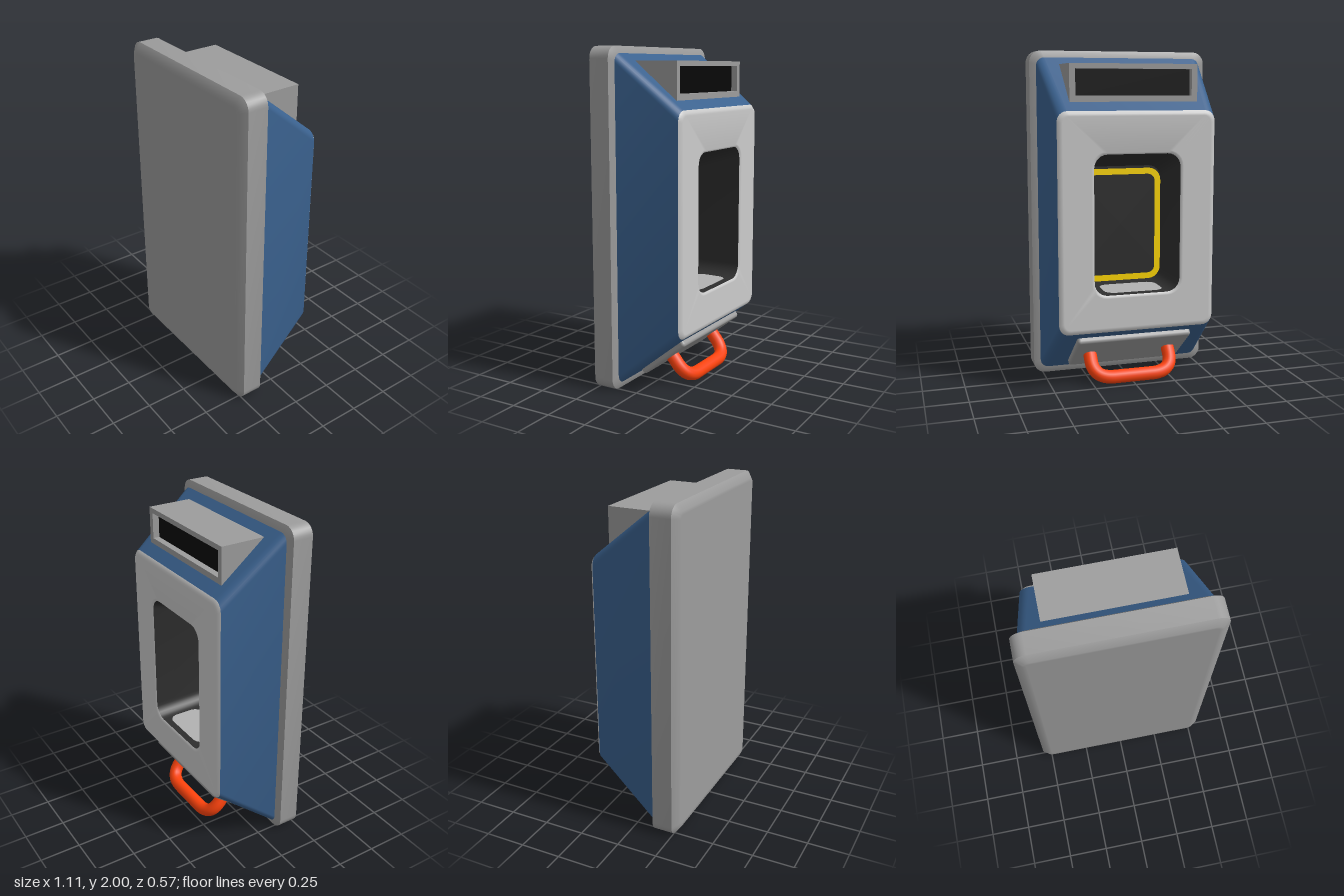
import * as THREE from 'three';
import { toCreasedNormals } from 'three/addons/utils/BufferGeometryUtils.js';
import { RoundedBoxGeometry } from 'three/addons/geometries/RoundedBoxGeometry.js';

const mat = (color) => new THREE.MeshStandardMaterial({ color });
const lightGrey = mat(0xcccccc), midGrey = mat(0xb2b2b2), grey = mat(0x9c9c9c);
const blue = mat(0x3a618e), dark = mat(0x2e2e2e), black = mat(0x080808);
const yellow = mat(0xffd800), orange = mat(0xff430c);

// Rounded rectangle outline, counter-clockwise, half width w, from y0 to y1, corner radius r
function ring([w, y0, y1, r, z], n = 6) {
  const pts = [];
  const corners = [[w - r, y1 - r], [r - w, y1 - r], [r - w, y0 + r], [w - r, y0 + r]];
  corners.forEach(([cx, cy], k) => {
    for (let i = 0; i <= n; i++) {
      const a = (k + i / n) * Math.PI / 2;
      pts.push(new THREE.Vector3(cx + r * Math.cos(a), cy + r * Math.sin(a), z));
    }
  });
  return pts;
}

// Skin over rounded rectangles, with optional caps at the first and last one
function loft(sections, capStart = false, capEnd = false) {
  const rings = sections.map((s) => ring(s));
  const n = rings[0].length, v = [];
  const tri = (...p) => p.forEach((q) => v.push(q.x, q.y, q.z));
  const mid = ([, y0, y1, , z]) => new THREE.Vector3(0, (y0 + y1) / 2, z);
  const first = rings[0], last = rings[rings.length - 1];
  for (let i = 0; i < n; i++) {
    const j = (i + 1) % n;
    for (let k = 0; k + 1 < rings.length; k++) {
      const a = rings[k], b = rings[k + 1];
      tri(a[i], b[i], b[j]);
      tri(a[i], b[j], a[j]);
    }
    if (capStart) tri(mid(sections[0]), first[i], first[j]);
    if (capEnd) tri(last[i], mid(sections[sections.length - 1]), last[j]);
  }
  const g = new THREE.BufferGeometry();
  g.setAttribute('position', new THREE.Float32BufferAttribute(v, 3));
  return toCreasedNormals(g, 0.82);
}

function rectShape(x0, y0, x1, y1, Type = THREE.Shape) {
  const s = new Type();
  s.moveTo(x0, y0);
  s.lineTo(x1, y0);
  s.lineTo(x1, y1);
  s.lineTo(x0, y1);
  s.closePath();
  return s;
}

export function createModel() {
  const model = new THREE.Group();
  const add = (name, geometry, material, parent = model) => {
    const m = new THREE.Mesh(geometry, material);
    m.name = name;
    parent.add(m);
    return m;
  };

  // Front slab with softened front rim and chamfered back rim
  add('frontSlab', loft([
    [0.495, 0.06, 1.94, 0.03, 0.285],
    [0.515, 0.04, 1.96, 0.04, 0.285],
    [0.555, 0, 2, 0.07, 0.255],
    [0.555, 0, 2, 0.07, 0.13],
    [0.52, 0.035, 1.965, 0.05, 0.112],
  ], true, true), grey);

  // Tapered housing
  add('housing', loft([
    [0.517, 0.04, 1.96, 0.05, 0.113],
    [0.475, 0.35, 1.65, 0.06, -0.27],
  ]), blue);

  // Face plate with softened edges around the window
  add('facePlate', loft([
    [0.475, 0.35, 1.65, 0.06, -0.27],
    [0.459, 0.366, 1.634, 0.05, -0.285],
    [0.445, 0.38, 1.62, 0.04, -0.285],
    [0.28, 0.555, 1.42, 0.093, -0.285],
    [0.272, 0.563, 1.412, 0.085, -0.285],
    [0.262, 0.573, 1.402, 0.08, -0.277],
  ]), lightGrey);

  // Cavity behind the window, its trim line and floor panel
  add('cavity', loft([
    [0.262, 0.573, 1.402, 0.08, -0.277],
    [0.262, 0.573, 1.3, 0.08, 0.09],
  ], false, true), dark);
  add('cavityTrim', loft([
    [0.26, 0.575, 1.285, 0.078, 0.083],
    [0.222, 0.613, 1.247, 0.045, 0.083],
  ]), yellow);
  const panel = new THREE.Shape(ring([0.18, -0.11, 0.11, 0.06, 0]).map((p) => new THREE.Vector2(p.x, p.y)));
  const floorPanel = add('floorPanel', new THREE.ShapeGeometry(panel), midGrey);
  floorPanel.rotation.x = -Math.PI / 2;
  floorPanel.position.set(0, 0.578, -0.13);

  // Vent hood: open frame running back into the upper slope
  const hood = rectShape(-0.387, 1.7, 0.387, 1.918);
  hood.holes.push(rectShape(-0.352, 1.735, 0.352, 1.888, THREE.Path));
  add('ventHood', new THREE.ExtrudeGeometry(hood, { depth: 0.27, bevelEnabled: false }), grey).position.z = -0.21;
  const opening = add('ventOpening', new THREE.PlaneGeometry(0.704, 0.153), black);
  opening.rotation.y = Math.PI;
  opening.position.set(0, 1.8115, -0.17);

  // Lower hatch, lying on the bottom slope (local -y points out of the slope)
  const hatch = new THREE.Group();
  hatch.name = 'hatch';
  hatch.position.set(0, 0.198, -0.081);
  hatch.rotation.x = Math.atan2(0.31, 0.385);
  model.add(hatch);
  add('hatchPlate', new RoundedBoxGeometry(0.71, 0.07, 0.365, 3, 0.018), grey, hatch);

  // Handle: U-shaped bar with rounded corners
  const path = new THREE.CurvePath();
  const P = (x, y) => new THREE.Vector3(x, y, 0.003);
  const bend = (a, b, c) => path.add(new THREE.QuadraticBezierCurve3(a, b, c));
  const line = (a, b) => path.add(new THREE.LineCurve3(a, b));
  line(P(-0.25, -0.02), P(-0.25, -0.08));
  bend(P(-0.25, -0.08), P(-0.25, -0.193), P(-0.12, -0.193));
  line(P(-0.12, -0.193), P(0.12, -0.193));
  bend(P(0.12, -0.193), P(0.25, -0.193), P(0.25, -0.08));
  line(P(0.25, -0.08), P(0.25, -0.02));
  add('handle', new THREE.TubeGeometry(path, 48, 0.041, 14), orange, hatch);

  return model;
}
